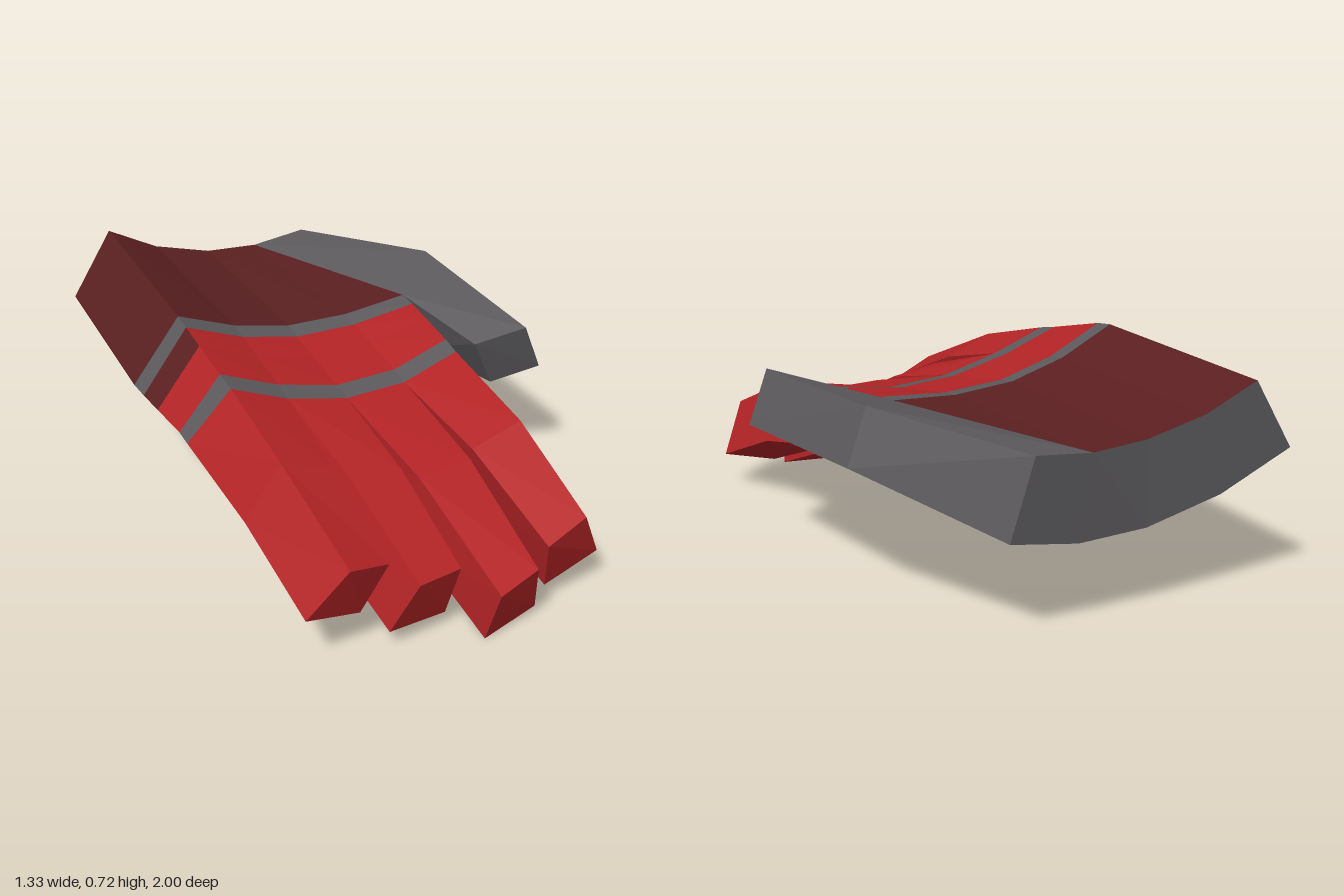
import * as THREE from 'three';

const paint = (name, color) => {
  const m = new THREE.MeshStandardMaterial({ color, flatShading: true });
  m.name = name;
  return m;
};

// Skin between successive rings (top edge left to right, then bottom edge right to left)
function skin(rings) {
  const quads = [];
  for (let i = 0; i < rings.length - 1; i++) {
    const n = rings[i].length;
    for (let j = 0; j < n; j++) {
      const k = (j + 1) % n;
      quads.push([rings[i][j], rings[i + 1][j], rings[i + 1][k], rings[i][k]]);
    }
  }
  return quads;
}

// End face of a ring, made of quads joining its top and bottom edges
function cap(ring, front) {
  const quads = [], n = ring.length;
  for (let j = 0; j < n / 2 - 1; j++) {
    const q = [ring[j], ring[n - 1 - j], ring[n - 2 - j], ring[j + 1]];
    quads.push(front ? q : q.reverse());
  }
  return quads;
}

function quadMesh(name, quads, material) {
  const pos = quads.flatMap(([a, b, c, d]) => [a, b, c, a, c, d].flat());
  const g = new THREE.BufferGeometry();
  g.setAttribute('position', new THREE.Float32BufferAttribute(pos, 3));
  g.computeVertexNormals();
  const m = new THREE.Mesh(g, material);
  m.name = name;
  return m;
}

const mix = (a, b, t) => a.map((v, i) => v + (b[i] - v) * t);
const mixRing = (r, s, t) => r.map((p, i) => mix(p, s[i], t));

// Hand cross-section from the top and bottom coordinates of the five finger boundaries
function section(tx, ty, tz, bx, by, bz) {
  const top = tx.map((x, i) => [x, ty[i], tz[i]]);
  const bottom = bx.map((x, i) => [x, by[i], bz[i]]);
  return [...top, ...bottom.reverse()];
}

export function createModel() {
  const red = paint('red', 0xb52426);
  const darkRed = paint('darkRed', 0x5c2021);
  const grey = paint('grey', 0x5c5a5d);
  const paleGrey = paint('paleGrey', 0xb2b2b2);
  const hand = new THREE.Group();
  hand.name = 'hand';
  const add = (name, quads, mat) => hand.add(quadMesh(name, quads, mat));

  // Cross-sections from wrist to finger roots
  const wrist = section(
    [-0.47, -0.3, -0.1, 0.09, 0.09], [0.725, 0.64, 0.59, 0.58, 0.58], [-1, -0.975, -0.955, -0.95, -0.95],
    [-0.62, -0.38, -0.12, 0.12, 0.12], [0.49, 0.37, 0.305, 0.3, 0.3], [-1, -0.965, -0.94, -0.93, -0.93]);
  const band1a = section(
    [-0.51, -0.305, -0.1, 0.125, 0.36], [0.725, 0.64, 0.59, 0.58, 0.6], [-0.21, -0.225, -0.235, -0.245, -0.255],
    [-0.665, -0.4, -0.12, 0.14, 0.42], [0.49, 0.37, 0.305, 0.3, 0.385], [-0.245, -0.26, -0.265, -0.265, -0.25]);
  const band1b = section(
    [-0.51, -0.305, -0.1, 0.125, 0.36], [0.715, 0.628, 0.578, 0.57, 0.595], [-0.14, -0.155, -0.165, -0.175, -0.185],
    [-0.66, -0.4, -0.12, 0.14, 0.42], [0.485, 0.365, 0.3, 0.295, 0.383], [-0.17, -0.195, -0.2, -0.2, -0.185]);
  const band2a = section(
    [-0.495, -0.3, -0.09, 0.135, 0.355], [0.652, 0.575, 0.525, 0.52, 0.565], [0.1, 0.115, 0.12, 0.1, 0.06],
    [-0.63, -0.385, -0.1, 0.16, 0.423], [0.46, 0.345, 0.285, 0.28, 0.37], [0.07, 0.06, 0.05, 0.045, 0.04]);
  const band2b = section(
    [-0.49, -0.3, -0.09, 0.135, 0.355], [0.635, 0.56, 0.51, 0.505, 0.55], [0.175, 0.19, 0.19, 0.17, 0.13],
    [-0.628, -0.385, -0.1, 0.16, 0.425], [0.45, 0.335, 0.275, 0.27, 0.36], [0.13, 0.12, 0.11, 0.105, 0.1]);

  // Palm, bands and knuckles
  add('palm', skin([wrist, band1a]), darkRed);
  add('rearBand', skin([band1a, band1b]), grey);
  const middle = mixRing(band1b, band2a, 0.4);
  const knuckles = skin([band1b, middle, band2a]);
  const patch = knuckles.splice(9, 1); // outer side face of the rear half
  add('knuckles', knuckles, red);
  add('sidePatch', patch, darkRed);
  add('frontBand', skin([band2a, band2b]), grey);
  add('wristFace', cap(wrist, false), grey);

  // Thumb with its wedge-shaped root
  const thumb = [
    [wrist[4], [0.29, 0.605, -0.95], [0.36, 0.345, -0.93], wrist[5]],
    [band1a[4], [0.555, 0.66, -0.44], [0.62, 0.475, -0.44], band1a[5]],
    [[0.43, 0.56, 0.13], [0.58, 0.625, 0.21], [0.66, 0.45, 0.185], [0.52, 0.38, 0.1]],
  ];
  add('thumb', [...skin(thumb), ...cap(thumb[0], false), ...cap(thumb[2], true)], grey);

  // Fingers: middle and tip rings as top left, top right, bottom right, bottom left
  const fingers = [
    ['littleFinger',
      [[-0.475, 0.54, 0.51], [-0.3, 0.475, 0.51], [-0.375, 0.265, 0.48], [-0.59, 0.35, 0.49]],
      [[-0.435, 0.37, 0.89], [-0.285, 0.325, 0.85], [-0.355, 0.14, 0.8], [-0.555, 0.2, 0.84]]],
    ['ringFinger',
      [[-0.26, 0.445, 0.55], [-0.075, 0.425, 0.53], [-0.09, 0.2, 0.5], [-0.335, 0.225, 0.5]],
      [[-0.215, 0.265, 0.915], [-0.055, 0.255, 0.88], [-0.07, 0.06, 0.82], [-0.28, 0.075, 0.85]]],
    ['middleFinger',
      [[-0.035, 0.405, 0.58], [0.16, 0.41, 0.56], [0.19, 0.185, 0.53], [-0.05, 0.17, 0.55]],
      [[0.02, 0.2, 0.995], [0.175, 0.225, 0.955], [0.215, 0.035, 0.89], [0.01, 0.005, 0.93]]],
    ['indexFinger',
      [[0.18, 0.43, 0.54], [0.37, 0.475, 0.52], [0.45, 0.265, 0.52], [0.225, 0.2, 0.53]],
      [[0.235, 0.265, 0.915], [0.39, 0.31, 0.885], [0.48, 0.13, 0.835], [0.275, 0.07, 0.85]]],
  ];
  fingers.forEach(([name, mid, tip], i) => {
    const root = [band2b[i], band2b[i + 1], band2b[8 - i], band2b[9 - i]];
    add(name, [...skin([root, mid, tip]), ...cap(tip, true)], red);

    // Grip pad on the underside
    const at = (u, t) => {
      const p = mix(mix(root[3], root[2], u), mix(mid[3], mid[2], u), t);
      return [p[0], p[1] - 0.007, p[2]];
    };
    add(name + 'Pad', [[at(0.22, 0.17), at(0.78, 0.17), at(0.78, 0.83), at(0.22, 0.83)]], paleGrey);
  });
  return hand;
}
